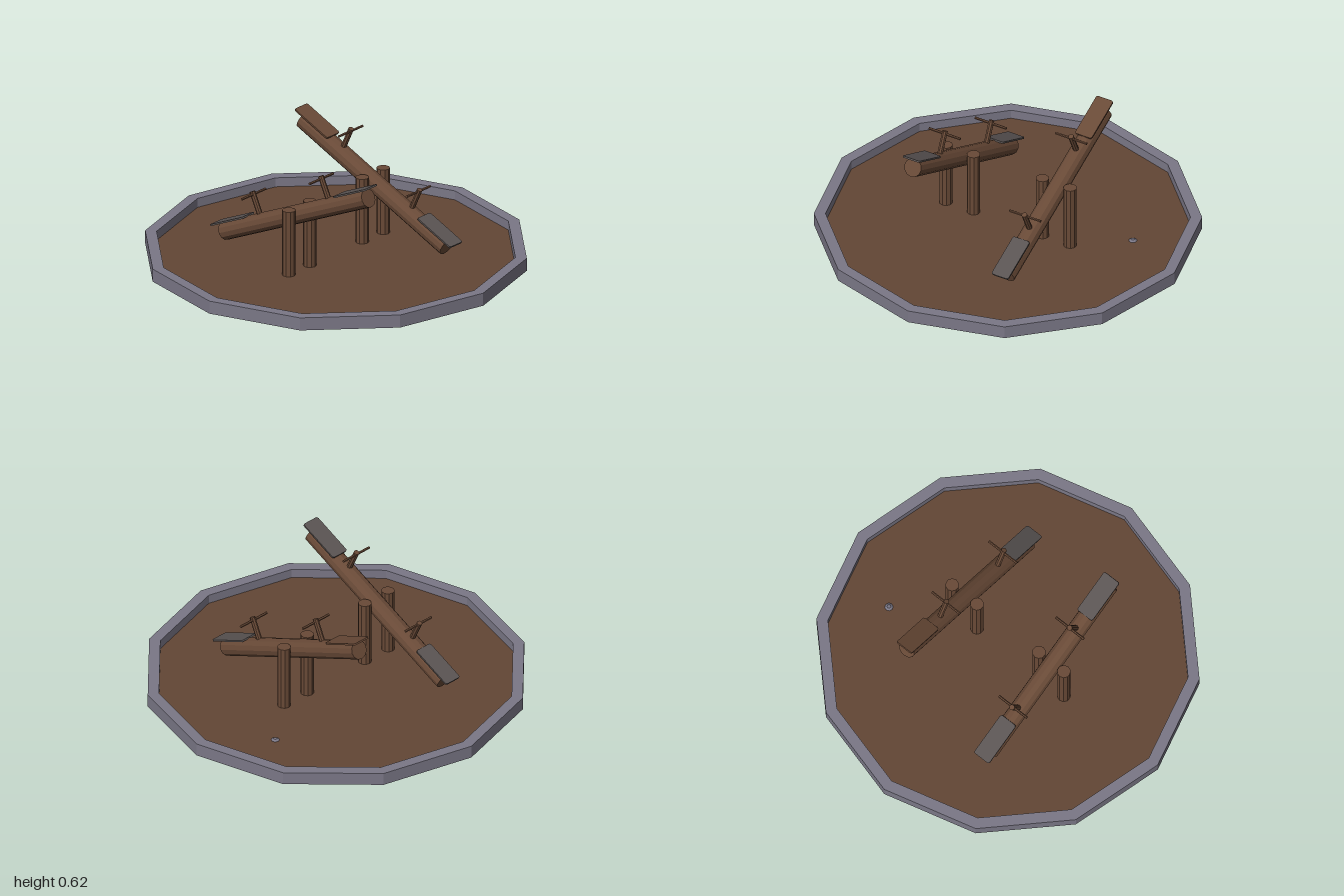
import * as THREE from 'three';

const flat = (name, color) => {
  const m = new THREE.MeshStandardMaterial({ color, flatShading: true });
  m.name = name;
  return m;
};

export function createModel() {
  const stone = flat('stone grey', 0x7a7786);
  const soil = flat('soil brown', 0x624635);
  const wood = flat('wood brown', 0x694a37);
  const slate = flat('seat grey', 0x5a5453);

  const model = new THREE.Group();
  model.name = 'seesawPlayground';

  const add = (parent, name, geometry, material, x = 0, y = 0, z = 0) => {
    const mesh = new THREE.Mesh(geometry, material);
    mesh.name = name;
    mesh.position.set(x, y, z);
    parent.add(mesh);
    return mesh;
  };

  // Twelve-sided kerb with a closed underside
  const profile = [[0, 0], [1, 0], [1, 0.07], [0.94, 0.07], [0.94, 0.02]]
    .map(([r, y]) => new THREE.Vector2(r, y));
  add(model, 'kerb', new THREE.LatheGeometry(profile, 12), stone);

  // Sunken ground and a small pebble
  add(model, 'ground', new THREE.CircleGeometry(0.94, 12).rotateX(-Math.PI / 2), soil, 0, 0.02, 0);
  add(model, 'pebble', new THREE.CylinderGeometry(0.01, 0.022, 0.008, 8), stone, 0.63, 0.024, -0.2);

  // Thin seat board with rounded corners, lying in the xz plane
  const w = 0.05, l = 0.122, r = 0.012;
  const board = new THREE.Shape();
  board.moveTo(-w + r, -l);
  board.lineTo(w - r, -l);
  board.quadraticCurveTo(w, -l, w, -l + r);
  board.lineTo(w, l - r);
  board.quadraticCurveTo(w, l, w - r, l);
  board.lineTo(-w + r, l);
  board.quadraticCurveTo(-w, l, -w, l - r);
  board.lineTo(-w, -l + r);
  board.quadraticCurveTo(-w, -l, -w + r, -l);
  const seatGeo = new THREE.ExtrudeGeometry(board, { depth: 0.009, bevelEnabled: false, curveSegments: 3 })
    .rotateX(-Math.PI / 2);

  const beamGeo = new THREE.CylinderGeometry(0.05, 0.05, 1.07, 12).rotateX(Math.PI / 2);
  const postGeo = new THREE.CylinderGeometry(0.035, 0.035, 0.36, 10);
  const stickGeo = new THREE.CylinderGeometry(0.015, 0.015, 0.14, 8);
  const barGeo = new THREE.CylinderGeometry(0.007, 0.007, 0.187, 6).rotateZ(Math.PI / 2);

  // One seesaw whose +z end is raised
  function seesaw(name, x, turn, highSeat) {
    const group = new THREE.Group();
    group.name = name;
    group.position.x = x;
    group.rotation.y = turn;

    for (const s of [-1, 1]) add(group, 'post', postGeo, wood, s * 0.083, 0.2, 0);

    const plank = new THREE.Group();
    plank.name = 'tiltedBeam';
    plank.position.set(0, 0.325, -0.017);
    plank.rotation.x = -0.43;
    group.add(plank);
    add(plank, 'beam', beamGeo, wood);

    // Seat and handle at each end
    for (const s of [-1, 1]) {
      add(plank, 'seat', seatGeo, s > 0 ? highSeat : slate, 0, 0.046, s * 0.459);
      add(plank, 'handleStick', stickGeo, wood, 0, 0.097, s * 0.256);
      add(plank, 'handleBar', barGeo, wood, 0, 0.152, s * 0.253);
    }
    model.add(group);
  }

  seesaw('rightSeesaw', -0.29, 0, slate);
  seesaw('leftSeesaw', 0.29, Math.PI, wood);
  return model;
}
